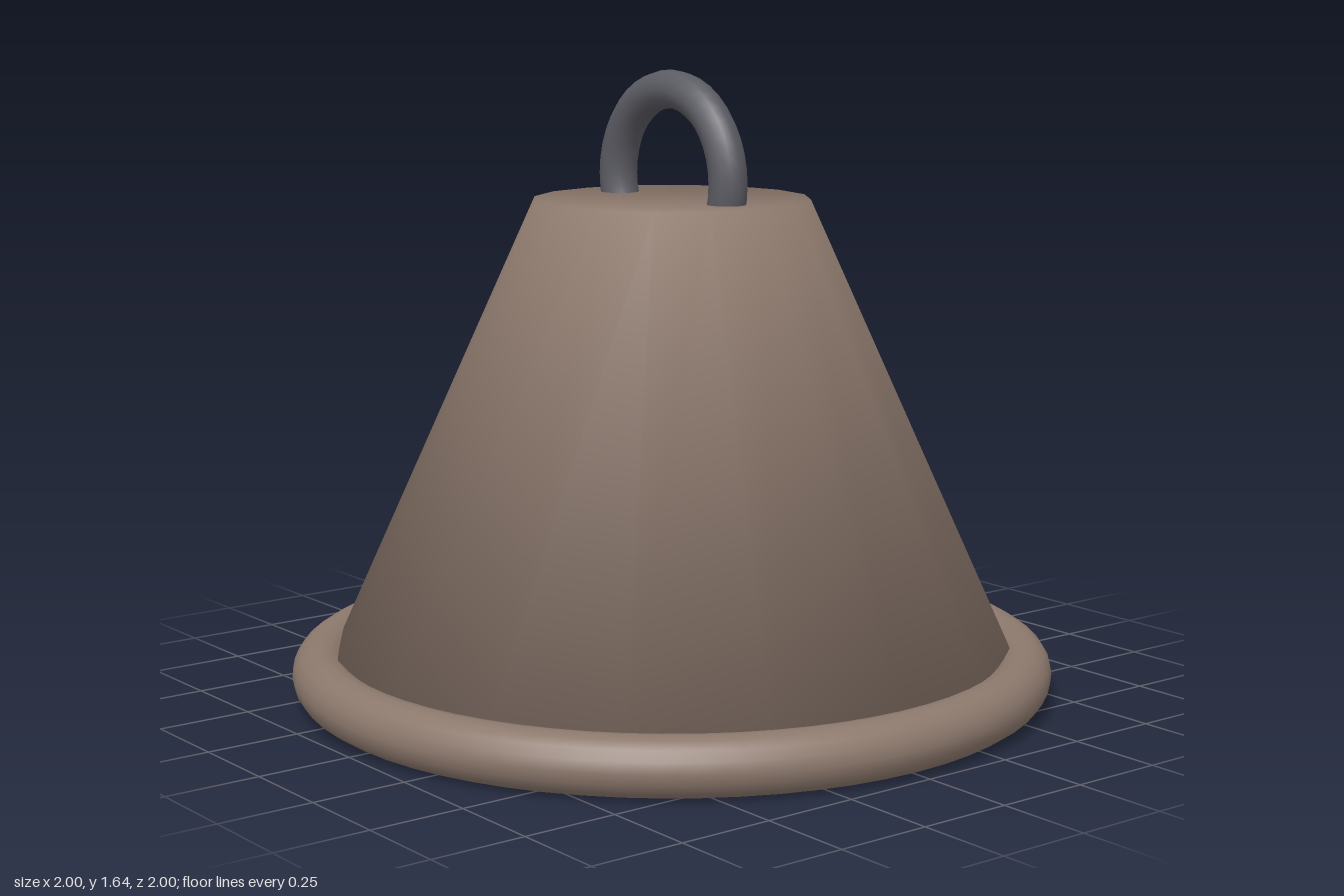
import * as THREE from 'three';

const SIDES = 16;

// Closed tapered body whose normals blend softly from wall into both caps
function taperedBody(rTop, yTop, rBottom, yBottom) {
  const pos = [], nor = [], idx = [];
  const ring = (r, y, out, up) => {
    for (let i = 0; i < SIDES; i++) {
      const a = (i / SIDES) * Math.PI * 2;
      pos.push(r * Math.sin(a), y, r * Math.cos(a));
      nor.push(out * Math.sin(a), up, out * Math.cos(a));
    }
  };
  ring(rBottom, yBottom, 0.87, -0.49);
  ring(rTop, yTop, 0.59, 0.81);
  for (let i = 0; i < SIDES; i++) {
    const j = (i + 1) % SIDES;
    idx.push(i, j, SIDES + j, i, SIDES + j, SIDES + i);
  }
  for (let i = 1; i < SIDES - 1; i++) {
    idx.push(0, i + 1, i); // bottom cap
    idx.push(SIDES, SIDES + i, SIDES + i + 1); // top cap
  }
  const g = new THREE.BufferGeometry();
  g.setAttribute('position', new THREE.Float32BufferAttribute(pos, 3));
  g.setAttribute('normal', new THREE.Float32BufferAttribute(nor, 3));
  g.setIndex(idx);
  return g;
}

export function createModel() {
  const bronze = new THREE.MeshStandardMaterial({ color: 0x8d796d });
  bronze.name = 'dull bronze';
  const iron = new THREE.MeshStandardMaterial({ color: 0x5b5b63 });
  iron.name = 'dark iron';

  const bell = new THREE.Group();
  bell.name = 'bell';
  const add = (name, geometry, material, y) => {
    const mesh = new THREE.Mesh(geometry, material);
    mesh.name = name;
    mesh.position.y = y;
    bell.add(mesh);
    return mesh;
  };

  // Flared body
  add('body', taperedBody(0.36, 1.31, 0.92, 0.075), bronze, 0);

  // Thick rolled lip
  add('lip', new THREE.TorusGeometry(0.925, 0.075, 16, 64), bronze, 0.075).rotation.x = Math.PI / 2;

  // Hanging ring, sunk into the crown
  add('hangingRing', new THREE.TorusGeometry(0.23, 0.05, 12, 40), iron, 1.36);

  // Clapper ball peeping out below
  add('clapper', new THREE.SphereGeometry(0.15, 8, 6), iron, 0.152);

  return bell;
}
